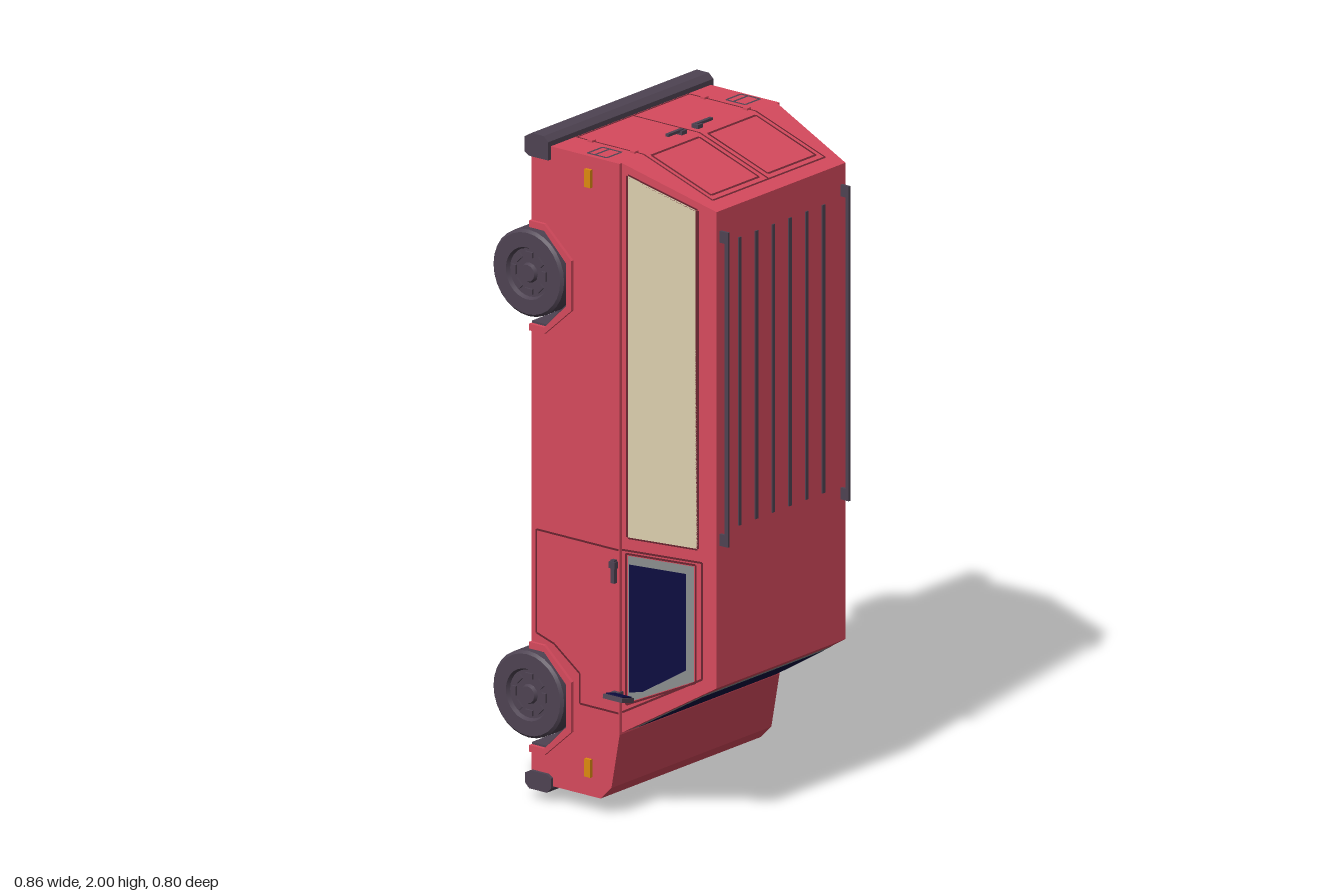
import * as THREE from 'three';
import { ConvexGeometry } from 'three/addons/geometries/ConvexGeometry.js';

const colour = (name, hex) => {
  const m = new THREE.MeshStandardMaterial({ color: hex });
  m.name = name;
  return m;
};

export function createModel() {
  const red = colour('red paint', 0xd64a5d);
  const dark = colour('dark plastic', 0x4e4352);
  const seamRed = colour('seam shadow', 0x6a2430);
  const navy = colour('navy glass', 0x0c0c40);
  const grey = colour('grey rubber', 0x8a8e8e);
  const beige = colour('beige glass', 0xdccfae);
  const orange = colour('orange lamp', 0xdd8a10);

  const van = new THREE.Group();
  van.name = 'van';
  const add = (name, geo, mat) => {
    const m = new THREE.Mesh(geo, mat);
    m.name = name;
    van.add(m);
    return m;
  };
  // Box from its min and max corners
  const box = (name, mat, x0, x1, y0, y1, z0, z1) => {
    const g = new THREE.BoxGeometry(Math.abs(x1 - x0), y1 - y0, z1 - z0);
    return add(name, g.translate((x0 + x1) / 2, (y0 + y1) / 2, (z0 + z1) / 2), mat);
  };
  // Side outline given as [z, y], extruded across x
  const profile = (name, mat, pts, xa, xb) => {
    const x0 = Math.min(xa, xb), x1 = Math.max(xa, xb);
    const shape = new THREE.Shape(pts.map(([z, y]) => new THREE.Vector2(-z, y)));
    const g = new THREE.ExtrudeGeometry(shape, { depth: x1 - x0, bevelEnabled: false });
    return add(name, g.rotateY(Math.PI / 2).translate(x0, 0, 0), mat);
  };
  // Flat polygon laid on a body face; map turns 2D into 3D, out is the outward direction
  const plate = (name, mat, pts, { map, out }, lift = 0.002) => {
    const p2 = pts.map(([a, b]) => new THREE.Vector2(a, b));
    const p3 = pts.map(([a, b]) => new THREE.Vector3(...map(a, b)).addScaledVector(out, lift));
    const pos = [];
    for (const f of THREE.ShapeUtils.triangulateShape(p2, [])) {
      let [a, b, c] = f.map(i => p3[i]);
      const n = b.clone().sub(a).cross(c.clone().sub(a));
      if (n.dot(out) < 0) [b, c] = [c, b];
      for (const v of [a, b, c]) pos.push(v.x, v.y, v.z);
    }
    const g = new THREE.BufferGeometry();
    g.setAttribute('position', new THREE.Float32BufferAttribute(pos, 3));
    g.computeVertexNormals();
    return add(name, g, mat);
  };
  // Thin line along a polyline on a body face
  const seam = (name, mat, pts, face, w = 0.006) => {
    for (let i = 0; i + 1 < pts.length; i++) {
      const [a, b] = pts[i], [c, d] = pts[i + 1];
      const l = Math.hypot(c - a, d - b), u = -(d - b) / l * w / 2, v = (c - a) / l * w / 2;
      plate(name, mat, [[a + u, b + v], [c + u, d + v], [c - u, d - v], [a - u, b - v]], face);
    }
  };
  const rect = (a0, a1, b0, b1) => [[a0, b0], [a1, b0], [a1, b1], [a0, b1]];
  const loop = pts => [...pts, pts[0]];

  // Body faces
  const side = s => ({
    map: (z, y) => [s * (z < 0.0699 ? 0.36 : 0.35 - (z - 0.07) * 0.2), y, z],
    out: new THREE.Vector3(s, 0, 0.1).normalize(),
  });
  const rear = {
    map: (x, z) => [x, z < 0.07 ? 1.97 : 1.97 - (z - 0.07) / 3, z],
    out: new THREE.Vector3(0, 1, 0.15).normalize(),
  };
  const screen = {
    map: (x, y) => [x, y, 0.07 + (y - 0.26) / 0.18 * 0.3],
    out: new THREE.Vector3(0, -0.3, 0.18).normalize(),
  };
  const nose = { map: (x, z) => [x, 0.05, z], out: new THREE.Vector3(0, -1, 0) };
  const floor = { map: (x, y) => [x, y, -0.255], out: new THREE.Vector3(0, 0, -1) };

  // Lower body: plain centre, outer slices with wheel arches
  const axleY = [0.305, 1.57];
  const arch = (c, g = 0) => [[-0.255, c - 0.145 - g], [-0.2, c - 0.145 - g], [-0.12 + g, c - 0.065 - g / 2],
    [-0.12 + g, c + 0.065 + g / 2], [-0.2, c + 0.145 + g], [-0.255, c + 0.145 + g]];
  const outline = [[-0.255, 1.97], [0.07, 1.97], [0.07, 0.255], [0.04, 0.09], [0, 0.05], [-0.255, 0.05]];
  profile('lowerBody', red, outline, -0.25, 0.25);
  plate('underside', dark, rect(-0.25, 0.25, 0.05, 1.97), floor);

  // Upper body tapering to the roof
  const corners = [];
  for (const s of [-1, 1])
    for (const [x, y, z] of [[0.35, 0.26, 0.07], [0.35, 1.97, 0.07], [0.29, 0.44, 0.37], [0.29, 1.87, 0.37]])
      corners.push(new THREE.Vector3(s * x, y, z));
  add('upperBody', new ConvexGeometry(corners), red);

  // Wheel: tyre with a recessed hub
  const tyre = new THREE.LatheGeometry([[0, -0.045], [0.122, -0.045], [0.122, -0.045], [0.13, -0.037], [0.13, -0.037],
    [0.13, 0.037], [0.13, 0.037], [0.122, 0.045], [0.122, 0.045], [0.078, 0.045], [0.078, 0.045], [0.072, 0.033],
    [0.072, 0.033], [0, 0.033]].map(p => new THREE.Vector2(...p)), 28);

  for (const s of [-1, 1]) {
    const f = side(s);
    profile('bodySide', red, [...outline, ...arch(axleY[0]), ...arch(axleY[1])], s * 0.25, s * 0.36);
    for (const [y0, y1] of [[0.05, 0.16], [0.45, 1.425], [1.715, 1.97]])
      plate('undersideEdge', dark, rect(s * 0.25, s * 0.36, y0, y1), floor);

    for (const c of axleY) {
      // Arch lining, flare and wheel
      profile('archLining', dark, [...arch(c), ...arch(c, -0.006).reverse()], s * 0.25, s * 0.358);
      profile('archWall', dark, arch(c), s * 0.25, s * 0.253);
      profile('archFlare', red, [...arch(c, 0.02), ...arch(c).reverse()], s * 0.358, s * 0.37);
      const wheel = new THREE.Group();
      wheel.name = 'wheel';
      wheel.add(new THREE.Mesh(tyre, dark));
      for (let i = 0; i < 8; i++) {
        const a = i * Math.PI / 4;
        const lug = new THREE.Mesh(new THREE.BoxGeometry(0.016, 0.008, 0.028), dark);
        lug.position.set(Math.cos(a) * 0.055, 0.035, Math.sin(a) * 0.055);
        lug.rotation.y = -a;
        wheel.add(lug);
      }
      const cap = new THREE.Mesh(new THREE.CylinderGeometry(0.025, 0.03, 0.01, 12), dark);
      cap.position.y = 0.038;
      wheel.add(cap);
      wheel.position.set(s * 0.316, c, -0.27);
      wheel.rotation.z = -s * Math.PI / 2;
      van.add(wheel);
    }

    // Side windows
    const long = [[0.09, 0.85], [0.31, 0.85], [0.31, 1.865], [0.09, 1.935]];
    plate('sideWindow', beige, long, f);
    seam('sideWindowTrim', seamRed, loop(long), f, 0.01);
    plate('doorWindowFrame', grey, [[0.09, 0.795], [0.3, 0.795], [0.3, 0.45], [0.09, 0.355]], f);
    plate('doorWindow', navy, [[0.095, 0.77], [0.275, 0.77], [0.275, 0.48], [0.14, 0.395], [0.095, 0.385]], f, 0.004);
    seam('doorWindowTrim', seamRed, loop([[0.085, 0.8], [0.305, 0.8], [0.305, 0.447], [0.085, 0.347]]), f);

    // Front door seams, handle and marker lamps
    seam('doorSeam', seamRed, [[0.068, 0.81], [-0.235, 0.81], [-0.235, 0.5], [-0.17, 0.48], [-0.075, 0.41],
      [-0.075, 0.32], [0.068, 0.32]], f);
    seam('doorSeam', seamRed, [[0.072, 0.322], [0.325, 0.46], [0.325, 0.81], [0.072, 0.81]], f);
    box('doorHandle', dark, s * 0.358, s * 0.372, 0.71, 0.78, 0.046, 0.06);
    box('doorHandleMount', dark, s * 0.358, s * 0.375, 0.755, 0.775, 0.042, 0.064);
    for (const y of [0.135, 1.905]) box('markerLamp', orange, s * 0.355, s * 0.37, y - 0.027, y + 0.027, -0.052, -0.03);

    // Mirror
    box('mirrorArm', dark, s * 0.345, s * 0.385, 0.365, 0.385, 0.05, 0.075);
    const mirror = new THREE.Group();
    mirror.name = 'mirror';
    const shell = new THREE.Mesh(new THREE.BoxGeometry(0.055, 0.014, 0.07), dark);
    const glass = new THREE.Mesh(new THREE.BoxGeometry(0.043, 0.004, 0.06), navy);
    glass.position.y = 0.008;
    mirror.add(shell, glass);
    mirror.position.set(s * 0.402, 0.383, 0.1);
    mirror.rotation.z = s * 0.25;
    van.add(mirror);

    // Roof rail on two posts
    box('roofRail', dark, s * 0.268, s * 0.276, 0.865, 1.81, 0.388, 0.4);
    for (const y of [0.865, 1.775]) box('railPost', dark, s * 0.268, s * 0.276, y, y + 0.035, 0.36, 0.39);

    // Rear doors: panel, handle, hinges and tail lamp
    seam('rearDoorSeam', seamRed, [[0, -0.175], [s * 0.253, -0.175], [s * 0.253, 0.07], [s * 0.253, 0.325], [0, 0.325]], rear);
    seam('rearPanelEdge', seamRed, loop(rect(s * 0.02, s * 0.235, 0.085, 0.305)), rear, 0.007);
    box('rearHandle', dark, s * 0.03, s * 0.1, 1.977, 1.985, 0.026, 0.037);
    box('rearHandleMount', dark, s * 0.025, s * 0.048, 1.965, 1.982, 0.02, 0.044);
    for (const z of [-0.12, 0.037]) box('rearHinge', red, s * 0.244, s * 0.262, 1.965, 1.976, z - 0.008, z + 0.008);
    seam('tailLampFrame', dark, loop(rect(s * 0.278, s * 0.345, -0.06, 0.01)), rear, 0.008);
    seam('tailLampBar', dark, [[s * 0.278, -0.034], [s * 0.345, -0.034]], rear, 0.008);

    // Bumper guard and headlamp
    box('bumperGuard', dark, s * 0.14, s * 0.17, 0, 0.035, -0.28, -0.14);
    plate('headlamp', beige, rect(s * 0.22, s * 0.32, -0.135, -0.035), nose, 0.005);
    for (const z of [-0.1, -0.068]) seam('headlampBar', dark, [[s * 0.22, z], [s * 0.32, z]], { ...nose, map: (x, z2) => [x, 0.046, z2] }, 0.008);
    seam('headlampBar', dark, [[s * 0.27, -0.135], [s * 0.27, -0.035]], { ...nose, map: (x, z) => [x, 0.046, z] }, 0.008);
  }
  seam('rearDoorSplit', seamRed, [[0, -0.175], [0, 0.07], [0, 0.325]], rear);

  // Windscreen
  plate('windscreenFrame', grey, [[-0.335, 0.265], [0.335, 0.265], [0.29, 0.415], [-0.29, 0.415]], screen);
  plate('windscreen', navy, [[-0.315, 0.275], [0.315, 0.275], [0.277, 0.402], [-0.277, 0.402]], screen, 0.004);

  // Grille with slats
  plate('grille', dark, rect(-0.335, 0.335, -0.175, -0.01), nose);
  for (let i = 0; i < 4; i++)
    plate('grilleSlat', seamRed, rect(-0.19, 0.19, -0.135 + i * 0.03, -0.127 + i * 0.03), nose, 0.004);

  // Roof ribs
  for (let i = 0; i < 6; i++) {
    const x = (i - 2.5) * 0.0755;
    box('roofRib', dark, x - 0.006, x + 0.006, 0.905, 1.77, 0.365, 0.374);
  }

  // Bumpers
  profile('rearBumper', dark, [[-0.27, 1.94], [-0.27, 1.985], [-0.245, 2], [-0.2, 2], [-0.183, 1.985], [-0.183, 1.93], [-0.255, 1.93]], -0.372, 0.372);
  profile('frontBumper', dark, [[-0.27, 0.075], [-0.25, 0.085], [-0.19, 0.085], [-0.175, 0.075], [-0.175, 0.045], [-0.19, 0.03], [-0.255, 0.03], [-0.27, 0.045]], -0.37, 0.37);

  // Axles, differentials and drive shaft
  for (const y of axleY) {
    add('axle', new THREE.CylinderGeometry(0.02, 0.02, 0.56, 8).rotateZ(Math.PI / 2).translate(0, y, -0.275), dark);
    box('differential', dark, -0.052, 0.052, y - 0.05, y + 0.05, -0.31, -0.25);
  }
  add('driveShaft', new THREE.CylinderGeometry(0.021, 0.021, axleY[1] - axleY[0], 8)
    .translate(0, (axleY[0] + axleY[1]) / 2, -0.274), dark);

  return van;
}
